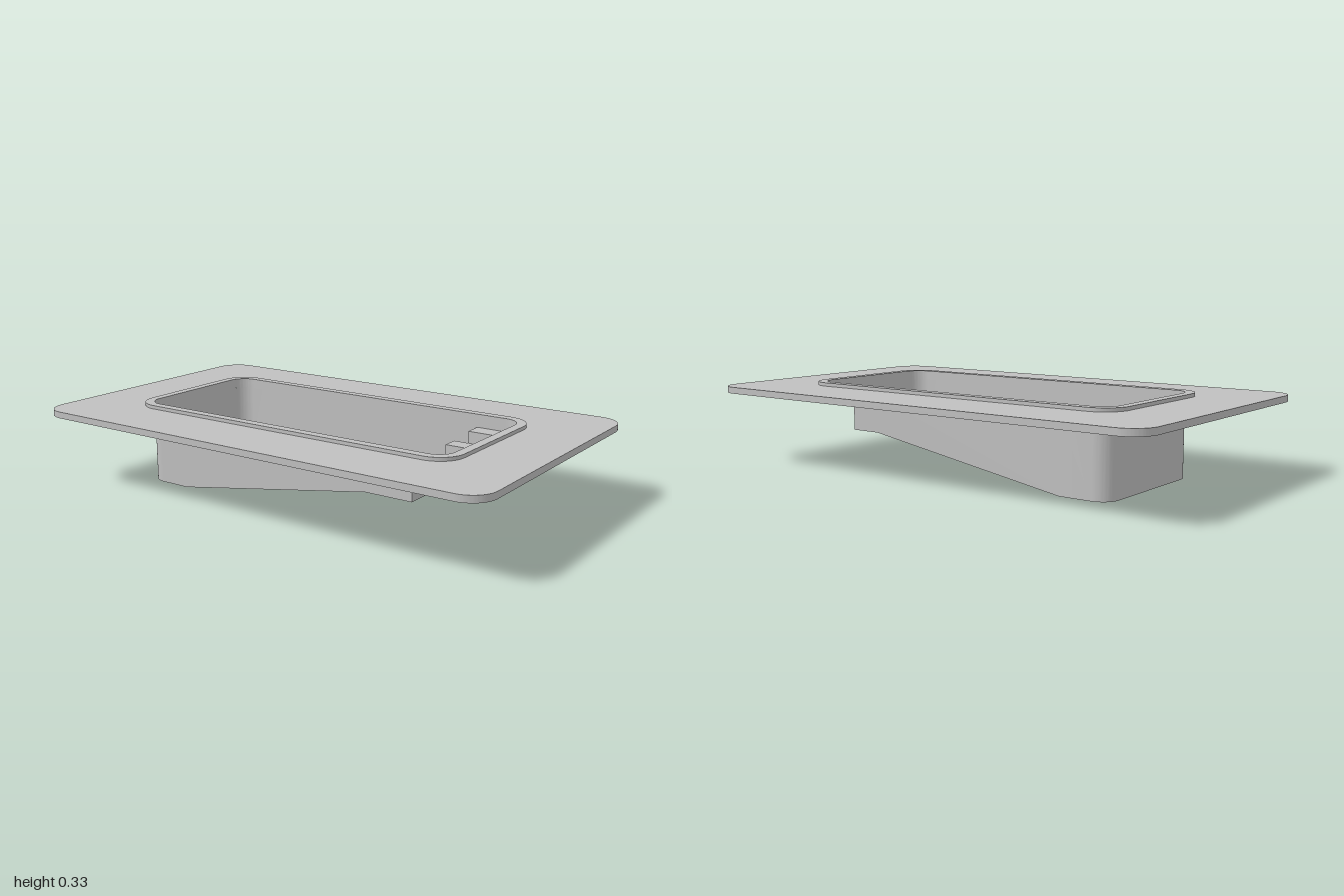
import * as THREE from 'three';
import { toCreasedNormals } from 'three/addons/utils/BufferGeometryUtils.js';

const HX = 0.703, HZ = 0.3, R = 0.07;          // basin half sizes and corner radius
const DECK_BOTTOM = 0.293, DECK_TOP = 0.319, COPING_TOP = 0.333;
const Z1 = -0.155, Z2 = -0.225;                // edges of the step and ledge lanes

// Rounded rectangle outline
function roundedRect(path, hx, hz, r) {
  path.absarc(hx - r, hz - r, r, 0, Math.PI / 2);
  path.absarc(-hx + r, hz - r, r, Math.PI / 2, Math.PI);
  path.absarc(-hx + r, -hz + r, r, Math.PI, Math.PI * 1.5);
  path.absarc(hx - r, -hz + r, r, Math.PI * 1.5, Math.PI * 2);
  path.closePath();
  return path;
}

// Flat slab with the basin opening cut out
function openSlab(hx, hz, r, y0, y1) {
  const shape = roundedRect(new THREE.Shape(), hx, hz, r);
  shape.holes.push(roundedRect(new THREE.Path(), HX, HZ, R));
  const geo = new THREE.ExtrudeGeometry(shape, { depth: y1 - y0, bevelEnabled: false, curveSegments: 16 });
  geo.rotateX(-Math.PI / 2).translate(0, y0, 0);
  return toCreasedNormals(geo, 0.5);
}

// Half width of the basin at x, narrowing round the corners
function halfWidth(x) {
  const d = Math.max(0, Math.abs(x) - (HX - R));
  return HZ - R + Math.sqrt(Math.max(0, R * R - d * d));
}

// Adds corner sampling to the sloped and level parts of a floor profile
const arcXs = [];
for (let i = 0; i < 16; i++) {
  const x = HX - R + R * Math.sin((i / 16) * Math.PI / 2);
  arcXs.push(x, -x);
}
arcXs.sort((a, b) => a - b);
function refine(profile) {
  const out = [profile[0]];
  for (let i = 1; i < profile.length; i++) {
    const [x0, y0] = profile[i - 1], [x1, y1] = profile[i];
    for (const x of arcXs) {
      if (x > x0 + 1e-4 && x < x1 - 1e-4) out.push([x, y0 + (y1 - y0) * (x - x0) / (x1 - x0)]);
    }
    out.push(profile[i]);
  }
  return out;
}

function basinGeometry() {
  const pos = [];
  const quad = (a, b, c, d) => pos.push(...a, ...b, ...c, ...a, ...c, ...d);
  const start = [[-HX, DECK_BOTTOM], [-HX, 0], [-0.5, 0], [0.38, 0.145]];
  const lanes = [
    { // main floor with two steps
      min: Z1, max: HZ, wall: 1,
      steps: [[0.575, 0.145], [0.575, 0.187], [0.64, 0.187], [0.64, 0.232], [HX, 0.232]],
    },
    { min: Z2, max: Z1, wall: 0, steps: [[0.45, 0.145], [0.45, 0.232], [HX, 0.232]] },
    { min: -HZ, max: Z2, wall: -1, steps: [[0.51, 0.145], [0.51, 0.28], [HX, 0.28]] },
  ];
  for (const { min, max, wall, steps } of lanes) {
    const pts = refine([...start, ...steps, [HX, DECK_BOTTOM]]);
    for (let i = 1; i < pts.length; i++) {
      const [x0, y0] = pts[i - 1], [x1, y1] = pts[i];
      const h0 = halfWidth(x0), h1 = halfWidth(x1);
      const a0 = Math.max(min, -h0), a1 = Math.max(min, -h1);
      const b0 = Math.min(max, h0), b1 = Math.min(max, h1);
      // floor, riser or end wall
      quad([x0, y0, b0], [x1, y1, b1], [x1, y1, a1], [x0, y0, a0]);
      if (x1 - x0 < 1e-6) continue;
      // long side walls
      const T = DECK_BOTTOM;
      if (wall > 0) quad([x0, T, b0], [x1, T, b1], [x1, y1, b1], [x0, y0, b0]);
      if (wall < 0) quad([x0, y0, a0], [x1, y1, a1], [x1, T, a1], [x0, T, a0]);
    }
  }
  // upright cheeks between lanes: x0, x1, y0, y1, z, facing
  const cheeks = [
    [0.45, 0.575, 0.145, 0.232, Z1, 1],
    [0.575, 0.64, 0.187, 0.232, Z1, 1],
    [0.45, 0.51, 0.145, 0.232, Z2, -1],
    [0.51, HX, 0.232, 0.28, Z2, 1],
  ];
  for (const [x0, x1, y0, y1, z, s] of cheeks) {
    const [l, r] = s > 0 ? [x0, x1] : [x1, x0];
    quad([l, y0, z], [r, y0, z], [r, y1, z], [l, y1, z]);
  }
  const geo = new THREE.BufferGeometry();
  geo.setAttribute('position', new THREE.Float32BufferAttribute(pos, 3));
  geo.computeVertexNormals();
  return toCreasedNormals(geo, 0.13);
}

export function createModel() {
  const group = new THREE.Group();
  group.name = 'swimmingPool';
  const grey = new THREE.MeshStandardMaterial({ color: 0xc0c0c0, side: THREE.DoubleSide });
  grey.name = 'lightGrey';
  const add = (name, geo) => {
    const mesh = new THREE.Mesh(geo, grey);
    mesh.name = name;
    group.add(mesh);
  };
  add('deck', openSlab(1, 0.597, 0.1, DECK_BOTTOM, DECK_TOP));
  add('coping', openSlab(0.74, 0.338, 0.107, DECK_TOP, COPING_TOP));
  add('basinWithSteps', basinGeometry());
  return group;
}
